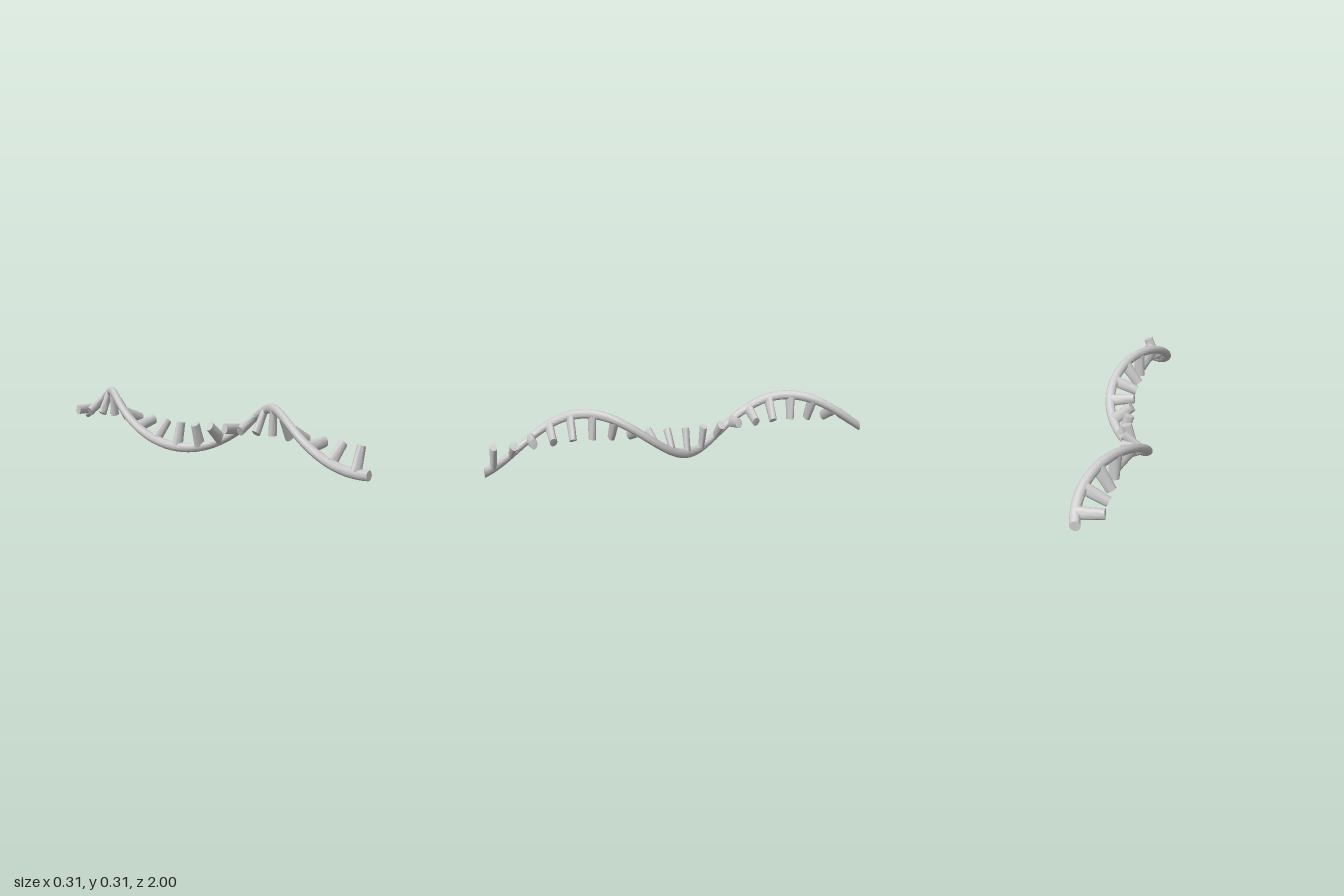
import * as THREE from 'three';
import { toCreasedNormals } from 'three/addons/utils/BufferGeometryUtils.js';

const AXIS_Y = 0.156;      // height of the helix axis
const RADIUS = 0.129;      // distance of the strand from the axis
const PITCH = 1.12;        // length of one full turn
const Z_START = 1.015;     // where the strand would hang straight down
const RUNGS = 20;

// Twist a straight shape (modelled around the z axis) about that axis
function twist(geometry) {
  const p = geometry.attributes.position;
  for (let i = 0; i < p.count; i++) {
    const x = p.getX(i), y = p.getY(i), z = p.getZ(i);
    const a = (2 * Math.PI * (Z_START - z)) / PITCH;
    const c = Math.cos(a), s = Math.sin(a);
    p.setXYZ(i, x * c + y * s, AXIS_Y - x * s + y * c, z);
  }
  return toCreasedNormals(geometry, 0.8);
}

export function createModel() {
  const group = new THREE.Group();
  group.name = 'singleStrandHelix';
  const material = new THREE.MeshStandardMaterial({ color: 0xcccccc });

  // Backbone: a straight rod below the axis, twisted into a helix
  const rod = new THREE.CylinderGeometry(0.025, 0.025, 2, 24, 140);
  rod.rotateX(Math.PI / 2);
  rod.translate(0, -RADIUS, 0);
  const backbone = new THREE.Mesh(twist(rod), material);
  backbone.name = 'backbone';
  group.add(backbone);

  // Rungs: oval pegs from the backbone inward to the axis
  const inner = 0.004, outer = -0.122;
  for (let i = 0; i < RUNGS; i++) {
    const peg = new THREE.CylinderGeometry(1, 1, inner - outer, 20, 4);
    peg.scale(0.027, 1, 0.0187);
    peg.translate(0, (inner + outer) / 2, 0.95 - i * 0.1);
    const rung = new THREE.Mesh(twist(peg), material);
    rung.name = `rung${i + 1}`;
    group.add(rung);
  }
  return group;
}
